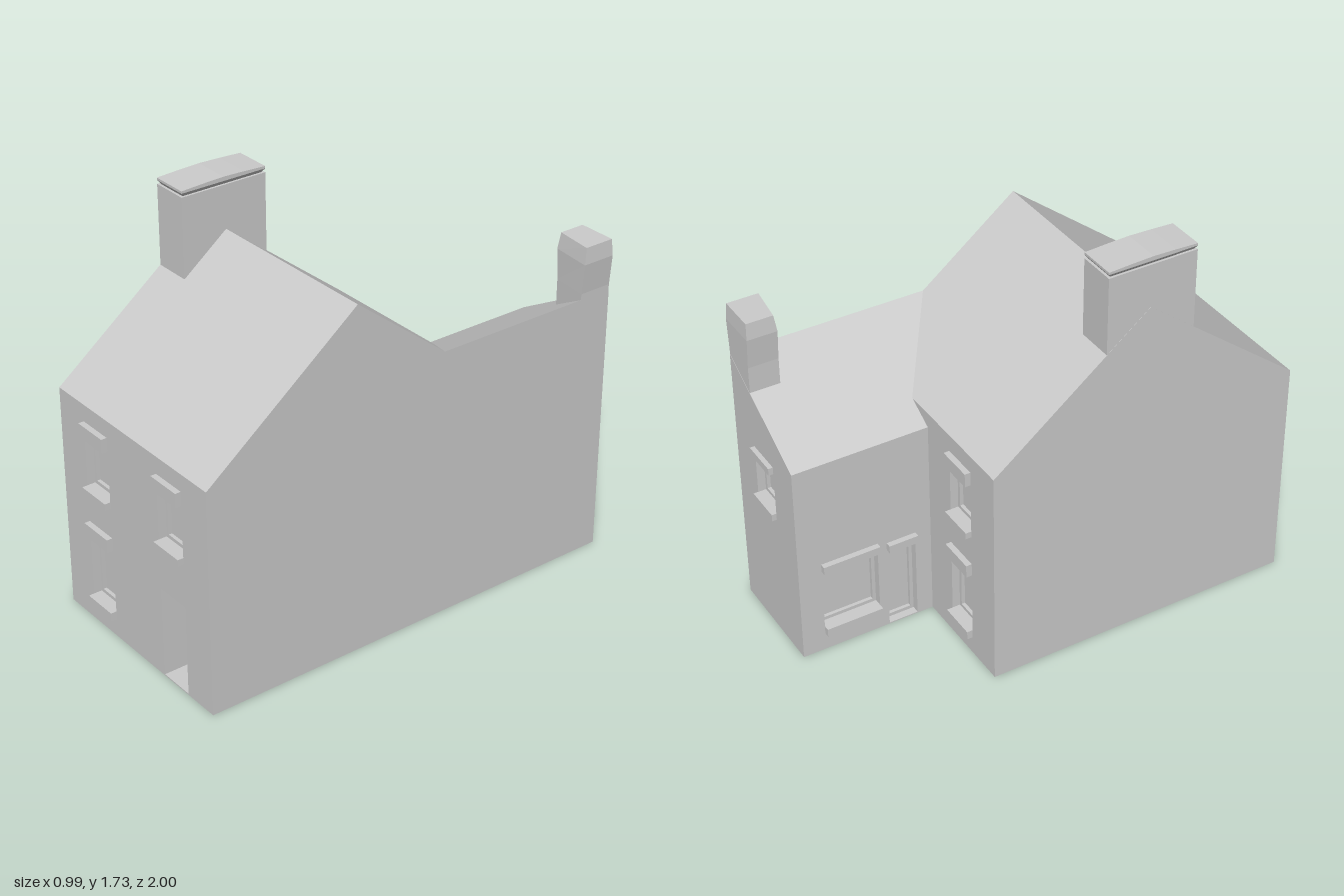
import * as THREE from 'three';

const mat = new THREE.MeshStandardMaterial({ color: 0xcccccc, flatShading: true, side: THREE.DoubleSide });

function add(parent, name, geo, x = 0, y = 0, z = 0) {
  const mesh = new THREE.Mesh(geo, mat);
  mesh.name = name;
  mesh.position.set(x, y, z);
  parent.add(mesh);
  return mesh;
}

const shapeOf = pts => new THREE.Shape(pts.map(p => new THREE.Vector2(...p)));
const rect = (x0, x1, y0, y1) => [[x0, y0], [x1, y0], [x1, y1], [x0, y1]];

// Rectangular ring between two outlines, extruded along z
function ring(x0, x1, y0, y1, grow, shrink, depth) {
  const s = shapeOf(rect(x0 - grow, x1 + grow, y0 - grow, y1 + grow));
  s.holes.push(shapeOf(rect(x0 + shrink, x1 - shrink, y0 + shrink, y1 - shrink)));
  return new THREE.ExtrudeGeometry(s, { depth, bevelEnabled: false });
}

// Flat convex polygon
function panel(pts) {
  const g = new THREE.BufferGeometry();
  g.setAttribute('position', new THREE.Float32BufferAttribute(pts.flat(), 3));
  const index = [];
  for (let i = 1; i < pts.length - 1; i++) index.push(0, i, i + 1);
  g.setIndex(index);
  g.computeVertexNormals();
  return g;
}

// Four-sided solid through sections [y, x0, x1, z0, z1, skew]
function loft(sections) {
  const pos = [], index = [];
  for (const [y, x0, x1, z0, z1, skew = 0] of sections)
    pos.push(x0, y, z1 - skew, x1, y, z1, x1, y, z0, x0, y, z0);
  const n = sections.length;
  for (let s = 0; s < n - 1; s++)
    for (let i = 0; i < 4; i++) {
      const a = s * 4 + i, b = s * 4 + (i + 1) % 4;
      index.push(a, b, b + 4, a, b + 4, a + 4);
    }
  const t = (n - 1) * 4;
  index.push(t, t + 1, t + 2, t, t + 2, t + 3);
  const g = new THREE.BufferGeometry();
  g.setAttribute('position', new THREE.Float32BufferAttribute(pos, 3));
  g.setIndex(index);
  g.computeVertexNormals();
  return g;
}

// Recessed window or door, with optional lintel and sill, in wall coordinates
function opening(wall, { name, x0, x1, y0, y1, depth = 0.05, lintel = 0, sill = 0, out = 0.025 }) {
  const group = new THREE.Group();
  group.name = name;
  const cx = (x0 + x1) / 2, cy = (y0 + y1) / 2, w = x1 - x0, h = y1 - y0;
  add(group, 'reveal', ring(x0, x1, y0, y1, 0.003, 0, depth - 0.001), 0, 0, -depth);
  add(group, 'frame', ring(x0, x1, y0, y1, 0, 0.015, 0.015), 0, 0, -depth);
  add(group, 'pane', new THREE.PlaneGeometry(w, h), cx, cy, -depth);
  const ledge = (part, y, height) =>
    add(group, part, new THREE.BoxGeometry(w, height, out + 0.01), cx, y, (out - 0.01) / 2);
  if (lintel) ledge('lintel', y1 + lintel / 2, lintel);
  if (sill) ledge('sill', y0 - sill / 2, sill);
  wall.add(group);
}

// Upright wall; local x runs along it and local z points outward
function wall(parent, name, pts, angle, x, z, openings = []) {
  const group = new THREE.Group();
  group.name = name;
  const s = shapeOf(pts);
  for (const o of openings) {
    s.holes.push(shapeOf(rect(o.x0, o.x1, o.y0, o.y1)));
    opening(group, o);
  }
  add(group, name + 'Face', new THREE.ShapeGeometry(s));
  group.rotation.y = angle;
  group.position.set(x, 0, z);
  parent.add(group);
}

export function createModel() {
  const house = new THREE.Group();
  house.name = 'house';

  const upper = x0 => ({ name: 'upperWindow', x0, x1: x0 + 0.16, y0: 0.62, y1: 0.845, lintel: 0.06, sill: 0.028 });
  const lower = x0 => ({ name: 'lowerWindow', x0, x1: x0 + 0.16, y0: 0.117, y1: 0.4, lintel: 0.057, sill: 0.037 });

  // Main block walls
  wall(house, 'frontWall', rect(-0.5, 0.48, 0, 0.98), 0, 0, 0.975, [
    upper(-0.333), lower(-0.333), upper(0.158),
    { name: 'frontDoor', x0: 0.158, x1: 0.318, y0: 0.004, y1: 0.4, depth: 0.18 }
  ]);
  wall(house, 'backWall', rect(-0.115, 0.5, 0, 0.98), Math.PI, 0, -0.39, [upper(0.17), lower(0.17)]);
  wall(house, 'chimneyGable', [[-0.39, 0], [0.975, 0], [0.975, 0.98], [0.29, 1.515], [-0.39, 0.98]],
    -Math.PI / 2, -0.5, 0);
  wall(house, 'longSideWall', [[-0.975, 0], [0.98, 0], [0.98, 1.185], [0.13, 1.185], [-0.29, 1.515], [-0.975, 0.98]],
    Math.PI / 2, 0.48, 0);

  // Rear extension walls
  wall(house, 'extensionBackWall', [[-0.48, 0], [0.005, 0], [0.005, 0.913], [-0.48, 1.185]], Math.PI, 0, -0.98, [
    { name: 'extensionWindow', x0: -0.318, x1: -0.158, y0: 0.62, y1: 0.813, lintel: 0.032, sill: 0.03, out: 0.02 }
  ]);
  wall(house, 'extensionSideWall', rect(-0.98, -0.39, 0, 0.913), -Math.PI / 2, -0.005, 0, [
    { name: 'kitchenWindow', x0: -0.88, x1: -0.63, y0: 0.117, y1: 0.4, lintel: 0.035, sill: 0.037 },
    { name: 'sideDoor', x0: -0.59, x1: -0.46, y0: 0.004, y1: 0.385, lintel: 0.035 }
  ]);

  // Roof slopes and base
  add(house, 'frontRoof', panel([[-0.5, 0.98, 0.975], [0.48, 0.98, 0.975], [0.48, 1.515, 0.29], [-0.5, 1.515, 0.29]]));
  add(house, 'backRoof', panel([[0.48, 1.185, -0.13], [0.115, 0.98, -0.39], [-0.5, 0.98, -0.39],
    [-0.5, 1.515, 0.29], [0.48, 1.515, 0.29]]));
  add(house, 'extensionRoof', panel([[0.48, 1.185, -0.13], [0.48, 1.185, -0.98], [-0.005, 0.913, -0.98],
    [-0.005, 0.913, -0.39], [0.115, 0.98, -0.39]]));
  const base = shapeOf([[-0.5, -0.39], [-0.005, -0.39], [-0.005, -0.98], [0.48, -0.98], [0.48, 0.975], [-0.5, 0.975]]);
  add(house, 'base', new THREE.ShapeGeometry(base).rotateX(Math.PI / 2));

  // Wide chimney with a flared, gently arched cap
  add(house, 'mainChimney', loft([[1.15, -0.499, -0.335, 0.1, 0.49], [1.7, -0.499, -0.335, 0.1, 0.49]]));
  add(house, 'mainChimneyCapFlare', loft([[1.699, -0.488, -0.346, 0.112, 0.478], [1.716, -0.499, -0.335, 0.1, 0.49]]));
  const cap = shapeOf([[0.1, 1.716], [0.49, 1.716], [0.49, 1.726], [0.39, 1.731], [0.295, 1.734], [0.2, 1.731], [0.1, 1.726]]);
  add(house, 'mainChimneyCap', new THREE.ExtrudeGeometry(cap, { depth: 0.164, bevelEnabled: false })
    .rotateY(-Math.PI / 2), -0.335);

  // Slim rear chimney, swelling towards the top
  add(house, 'rearChimney', loft([
    [1.0, 0.32, 0.479, -0.979, -0.83, 0.02],
    [1.21, 0.32, 0.48, -0.979, -0.83, 0.02],
    [1.34, 0.311, 0.491, -0.979, -0.83, 0.02],
    [1.41, 0.318, 0.485, -0.975, -0.84, 0.02]
  ]));

  return house;
}
